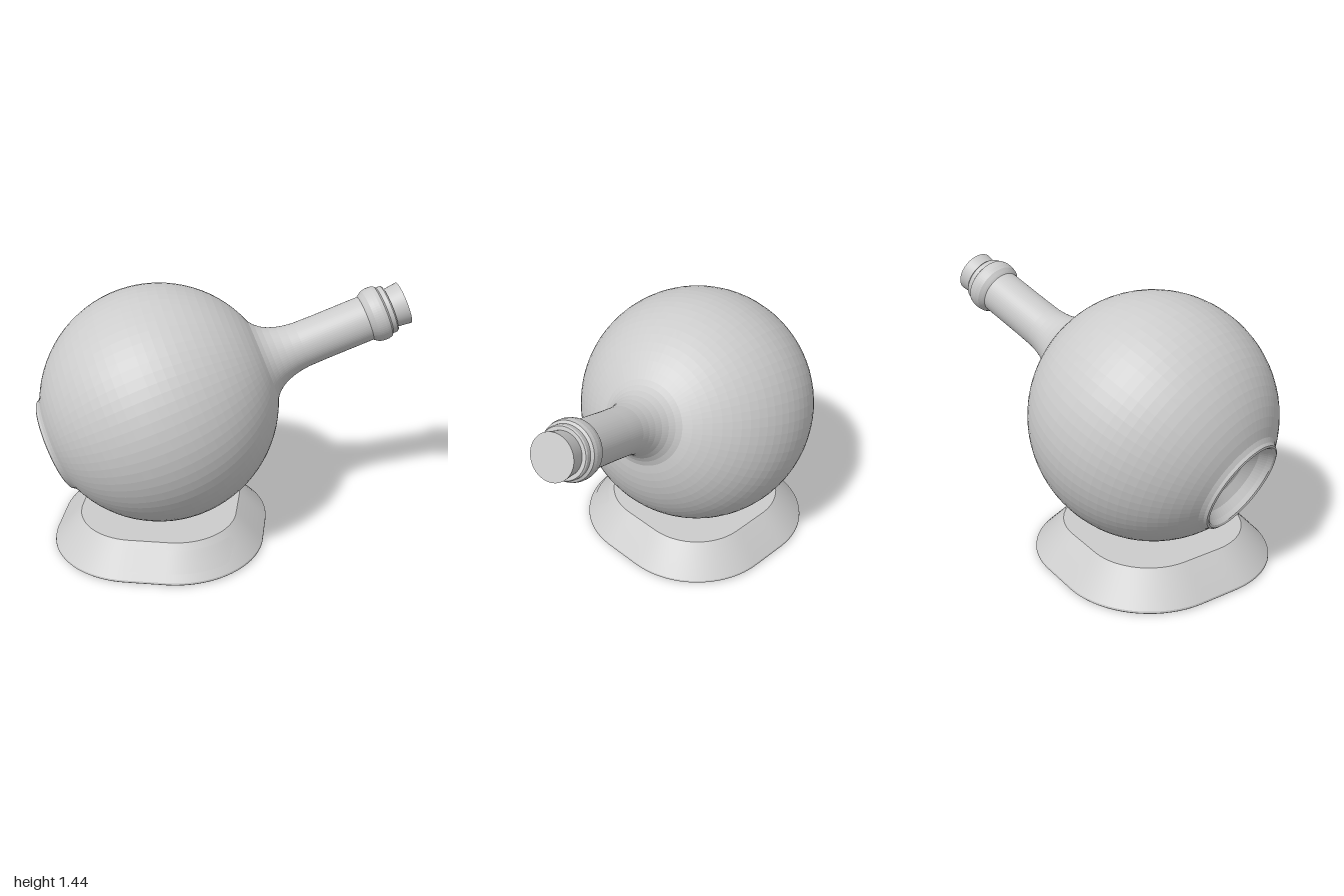
import * as THREE from 'three';
import { toCreasedNormals } from 'three/addons/utils/BufferGeometryUtils.js';

const CENTRE_X = -0.345;
const FLAT = 0.11; // half length of the straight part of each stand side

const grey = (options = {}) => new THREE.MeshStandardMaterial({ color: 0xcccccc, ...options });

function addMesh(parent, name, geometry, material) {
  const mesh = new THREE.Mesh(geometry, material);
  mesh.name = name;
  parent.add(mesh);
  return mesh;
}

const lathe = (points, segments) =>
  new THREE.LatheGeometry(points.map(([r, y]) => new THREE.Vector2(r, y)), segments);

// Distance from centre to the edge of a rounded square of half width h
function roundedSquareRadius(h, angle) {
  const a = Math.abs(Math.cos(angle)), b = Math.abs(Math.sin(angle));
  const c = Math.max(a, b), s = Math.min(a, b);
  const f = Math.min(FLAT, h), r = h - f;
  if ((h * s) / c <= f) return h / c;
  return f * (c + s) + Math.sqrt(Math.max(0, r * r - f * f * (c - s) ** 2));
}

// Round body with a hollow foot at one end and a filleted neck at the other
function bottleGeometry() {
  const R = 0.65;
  const foot = [[0, -0.48], [0.08, -0.487], [0.15, -0.51], [0.2, -0.55], [0.225, -0.59],
    [0.237, -0.615], [0.248, -0.622], [0.258, -0.617], [0.266, -0.602]];
  const sphere = [];
  const start = -Math.acos(0.285 / R), end = Math.acos(0.225 / R);
  for (let i = 0; i <= 30; i++) {
    const a = start + ((end - start) * i) / 30;
    sphere.push([R * Math.cos(a), R * Math.sin(a)]);
  }
  const fillet = [[0.198, 0.632], [0.175, 0.66], [0.156, 0.695], [0.142, 0.735],
    [0.132, 0.78], [0.126, 0.83]];
  const neck = [[0.124, 0.95], [0.124, 1.08], [0.124, 1.205]];
  const lip = [[0.132, 1.215], [0.145, 1.235], [0.15, 1.26], [0.15, 1.285], [0.145, 1.305],
    [0.132, 1.315], [0.132, 1.34], [0.127, 1.347], [0.1, 1.347], [0.09, 1.32]];
  return lathe([...foot, ...sphere, ...fillet, ...neck, ...lip], 72);
}

// Hollow stand: a turned shell whose rings are reshaped into rounded squares
function standGeometry() {
  const geometry = lathe([[0, 0.15], [0.425, 0.15], [0.57, 0], [0.586, 0], [0.592, 0.006],
    [0.59, 0.016], [0.445, 0.165], [0.438, 0.17], [0, 0.17]], 96);
  const p = geometry.attributes.position;
  for (let i = 0; i < p.count; i++) {
    const h = Math.hypot(p.getX(i), p.getZ(i));
    const angle = Math.atan2(p.getZ(i), p.getX(i));
    const r = roundedSquareRadius(h, angle);
    p.setXYZ(i, r * Math.cos(angle), p.getY(i), r * Math.sin(angle));
  }
  return toCreasedNormals(geometry, 0.5);
}

// Thin plate with rounded ends that follows the sloping front of the stand
function plateGeometry() {
  const geometry = new THREE.PlaneGeometry(0.65, 0.09, 40, 4);
  const p = geometry.attributes.position;
  for (let i = 0; i < p.count; i++) {
    const x = p.getX(i);
    const into = Math.max(0, Math.abs(x) - 0.285) / 0.04;
    const y = 0.097 + p.getY(i) * (0.4 + 0.6 * Math.sqrt(Math.max(0, 1 - into * into)));
    const px = x + 0.12;
    const h = 0.594 - (y - 0.016) * 0.973;
    const dx = Math.max(0, Math.abs(px) - FLAT);
    const z = FLAT + Math.sqrt(Math.max(0, (h - FLAT) ** 2 - dx * dx));
    p.setXYZ(i, px, y, z);
  }
  geometry.computeVertexNormals();
  return geometry;
}

export function createModel() {
  const model = new THREE.Group();
  model.name = 'bottleOnStand';

  // Tilted bottle, turned about its own long axis
  const bottle = new THREE.Group();
  bottle.name = 'bottle';
  bottle.position.set(-0.34, 0.79, 0);
  const axis = new THREE.Vector3(1.29, 0.505, -0.335).normalize();
  bottle.quaternion.setFromUnitVectors(new THREE.Vector3(0, 1, 0), axis);
  model.add(bottle);
  addMesh(bottle, 'bottleBody', bottleGeometry(), grey({ flatShading: true }));

  // Stopper, slightly wider at its outer end
  const cork = new THREE.CylinderGeometry(0.117, 0.104, 0.11, 64);
  addMesh(bottle, 'cork', cork, grey()).position.y = 1.373;

  // Stand
  const stand = new THREE.Group();
  stand.name = 'stand';
  stand.position.x = CENTRE_X;
  model.add(stand);
  addMesh(stand, 'standShell', standGeometry(), grey());
  addMesh(stand, 'frontPlate', plateGeometry(), grey({ side: THREE.DoubleSide }));

  return model;
}
